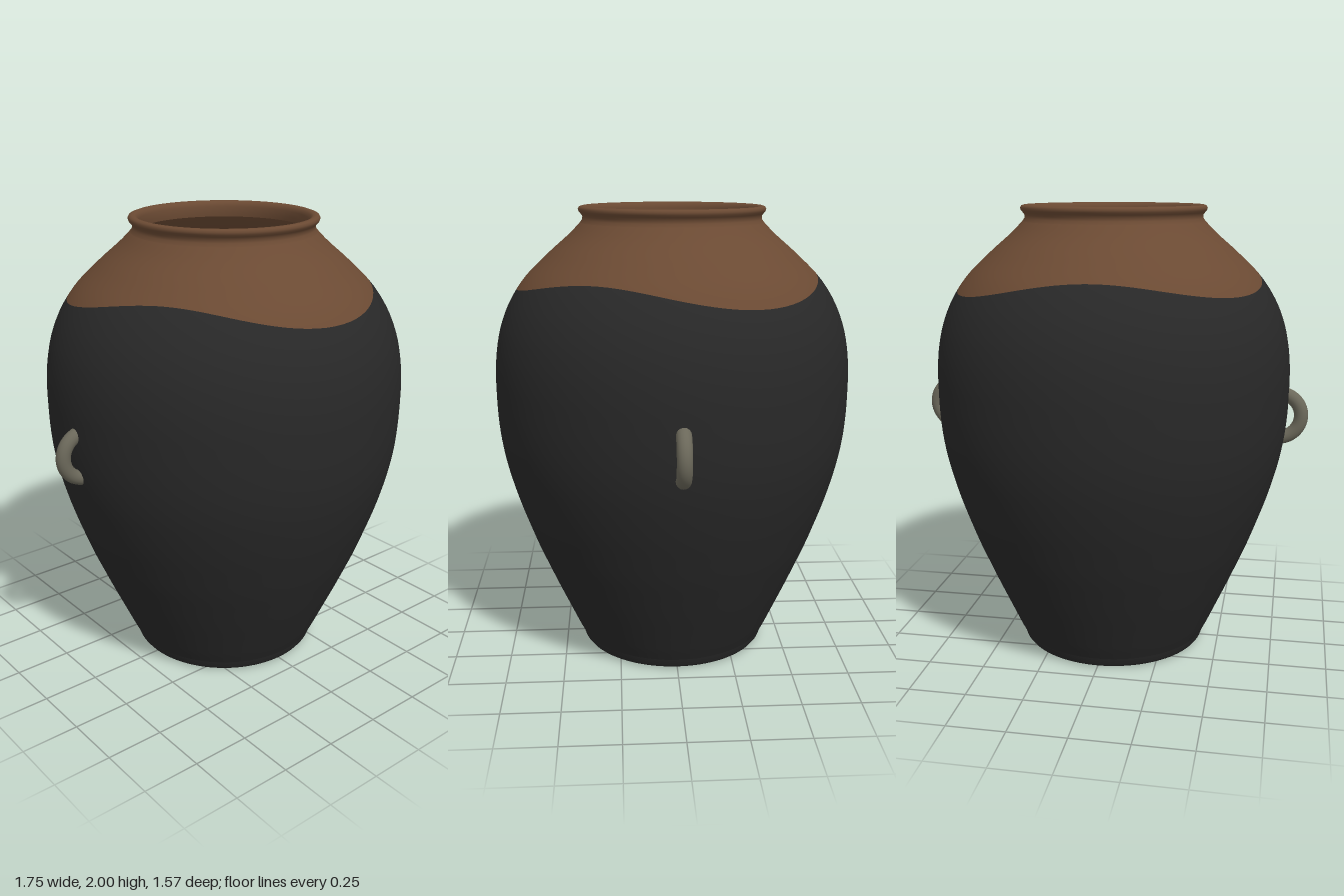
import * as THREE from 'three';

const SEGMENTS = 96;
const WALL = 0.035;
const BOTTOM = 0.05;
const SHOULDER = 1.93;

// Outer radius at even height steps of 0.1
const radii = [
  0.41, 0.455, 0.5, 0.545, 0.588, 0.63, 0.667, 0.702, 0.732, 0.757, 0.774,
  0.783, 0.786, 0.785, 0.775, 0.752, 0.71, 0.642, 0.54, 0.428, 0.35,
];
const profile = new THREE.SplineCurve(radii.map((r, i) => new THREE.Vector2(r, i * 0.1)));
const radiusAt = (y) => profile.getPoint(y / 2).x;

// Wavy lower edge of the glaze, angle measured from the front towards +x
const glazeEdge = (a) => 1.683 - 0.04 * Math.cos(3 * a) - 0.012 * Math.cos(a - 2);

// Wall of revolution between two heights that may vary with the angle
function wall(from, to, rows, inside) {
  const position = [], normal = [], index = [];
  const side = inside ? -1 : 1;
  const n = new THREE.Vector3();
  for (let j = 0; j <= rows; j++) {
    for (let i = 0; i <= SEGMENTS; i++) {
      const a = (i / SEGMENTS) * Math.PI * 2;
      const y = THREE.MathUtils.lerp(from(a), to(a), j / rows);
      const r = radiusAt(y) - (inside ? WALL : 0);
      const slope = (radiusAt(y + 0.01) - radiusAt(y - 0.01)) / 0.02;
      position.push(r * Math.sin(a), y, r * Math.cos(a));
      n.set(Math.sin(a), -slope, Math.cos(a)).normalize().multiplyScalar(side);
      normal.push(n.x, n.y, n.z);
      if (i === SEGMENTS || j === rows) continue;
      const p = j * (SEGMENTS + 1) + i, q = p + SEGMENTS + 1;
      if (inside) index.push(p, q, p + 1, p + 1, q, q + 1);
      else index.push(p, p + 1, q, p + 1, q + 1, q);
    }
  }
  const g = new THREE.BufferGeometry();
  g.setAttribute('position', new THREE.Float32BufferAttribute(position, 3));
  g.setAttribute('normal', new THREE.Float32BufferAttribute(normal, 3));
  g.setIndex(index);
  return g;
}

const lathe = (points) =>
  new THREE.LatheGeometry(points.map(([x, y]) => new THREE.Vector2(x, y)), SEGMENTS);

export function createModel() {
  const group = new THREE.Group();
  const material = (name, color) => {
    const m = new THREE.MeshStandardMaterial({ color });
    m.name = name;
    return m;
  };
  const black = material('black clay', 0x282828);
  const brown = material('brown glaze', 0x6b4a33);
  const grey = material('grey stone', 0x6b685a);

  const add = (name, geometry, mat) => {
    const mesh = new THREE.Mesh(geometry, mat);
    mesh.name = name;
    group.add(mesh);
    return mesh;
  };
  const low = () => BOTTOM, high = () => SHOULDER;

  // Jar wall, outside and inside, divided along the glaze edge
  add('outerBody', wall(low, glazeEdge, 48, false), black);
  add('outerGlaze', wall(glazeEdge, high, 12, false), brown);
  add('innerBody', wall(low, glazeEdge, 48, true), black);
  add('innerGlaze', wall(glazeEdge, high, 12, true), brown);

  // Foot with rounded edge, and inner floor
  add('foot', lathe([
    [0, 0], [0.385, 0], [0.395, 0.001], [0.41, 0.007], [0.42, 0.02], [radiusAt(BOTTOM), BOTTOM],
  ]), black);
  add('floor', lathe([[radiusAt(BOTTOM) - WALL, BOTTOM], [0, BOTTOM]]), black);

  // Neck groove and rolled lip
  const neck = radiusAt(SHOULDER);
  add('rim', lathe([
    [neck, SHOULDER], [0.39, 1.943], [0.389, 1.957], [0.397, 1.968], [0.405, 1.977],
    [0.408, 1.987], [0.403, 1.996], [0.392, 2], [0.378, 1.998], [0.368, 1.99],
    [0.363, 1.975], [0.362, 1.95], [neck - WALL, SHOULDER],
  ]), brown);

  // Half-ring handles set into the wall on both sides
  for (const side of [1, -1]) {
    const geometry = new THREE.TorusGeometry(0.1, 0.031, 16, 32, Math.PI);
    geometry.rotateZ(-Math.PI / 2);
    const handle = add(side > 0 ? 'leftHandle' : 'rightHandle', geometry, grey);
    handle.position.set(side * 0.743, 1.088, 0);
    if (side < 0) handle.rotation.y = Math.PI;
  }
  return group;
}
